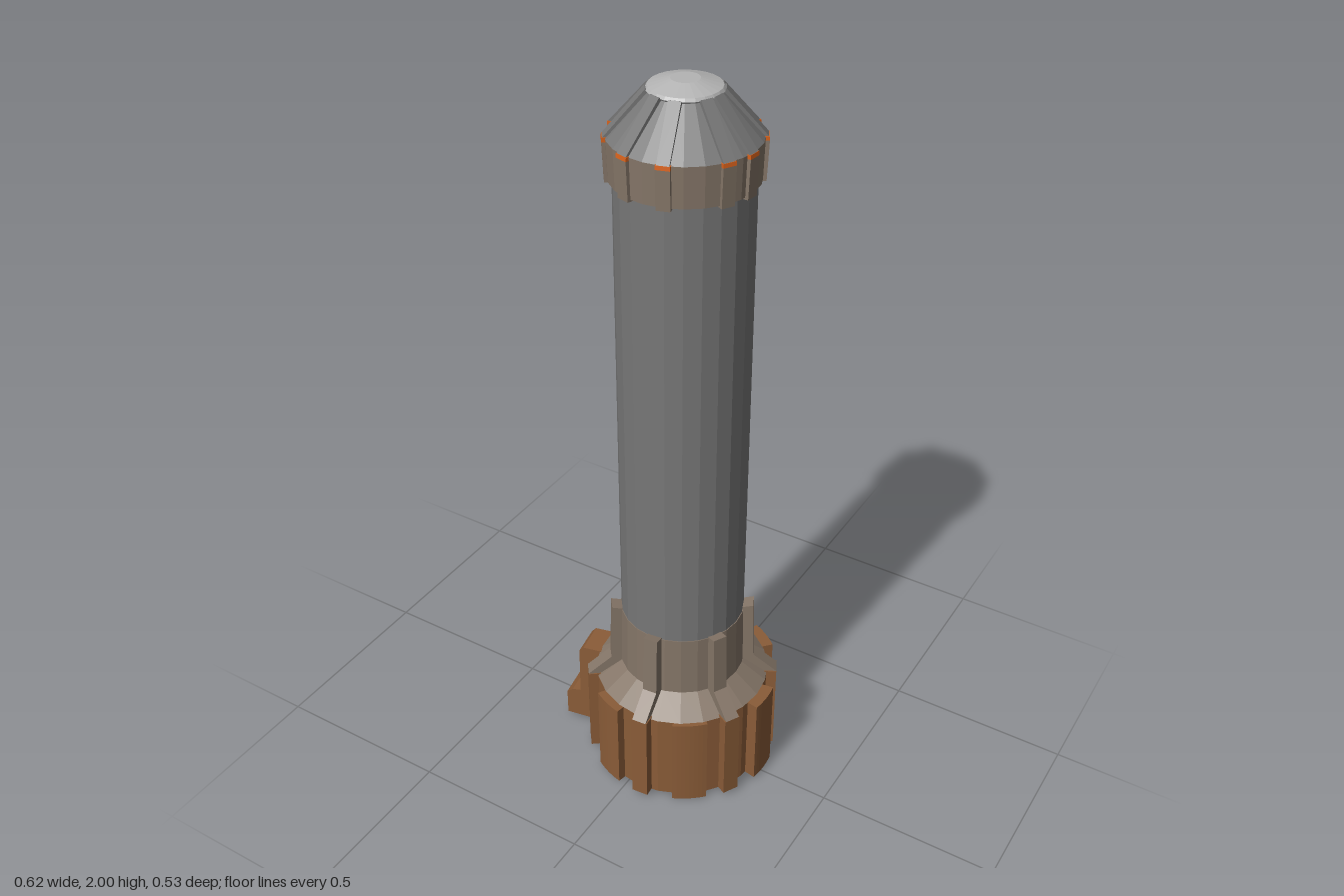
import * as THREE from 'three';

const mat = (color) => new THREE.MeshStandardMaterial({ color, flatShading: true, side: THREE.DoubleSide });
const rad = THREE.MathUtils.degToRad;

export function createModel() {
  const model = new THREE.Group();
  const axis = new THREE.Group();
  axis.name = 'lighthouseTower';
  axis.position.set(0.034, 0, -0.004);
  model.add(axis);

  const brown = mat(0x8a5c38), tan = mat(0x857668), grey = mat(0x777777);
  const light = mat(0xb4b4b4), orange = mat(0xd8621c), teal = mat(0x2a8f88);

  const add = (name, geo, material, angle = 0) => {
    const m = new THREE.Mesh(geo, material);
    m.name = name;
    m.rotation.y = rad(angle);
    axis.add(m);
    return m;
  };
  // Turned section from [radius, height] pairs
  const turned = (name, pts, material) =>
    add(name, new THREE.LatheGeometry(pts.map(p => new THREE.Vector2(...p)), 24), material);
  // Radial plate: side profile in [radius, height], thickness across
  const plate = (name, pts, width, material, angle) => {
    const shape = new THREE.Shape(pts.map(p => new THREE.Vector2(...p)));
    const geo = new THREE.ExtrudeGeometry(shape, { depth: width, bevelEnabled: false });
    geo.translate(0, 0, -width / 2);
    return add(name, geo, material, angle);
  };
  // Curved block hugging the base
  const pad = (name, r0, r1, halfDeg, y0, y1, angle) => {
    const h = rad(halfDeg), shape = new THREE.Shape();
    shape.absarc(0, 0, r1, -h, h, false);
    shape.absarc(0, 0, r0, h, -h, true);
    shape.closePath();
    const geo = new THREE.ExtrudeGeometry(shape, { depth: y1 - y0, bevelEnabled: false, curveSegments: 4 });
    geo.rotateX(-Math.PI / 2);
    geo.translate(0, y0, 0);
    add(name, geo, brown, angle);
  };

  // Main stack
  turned('base', [[0, 0.01], [0.24, 0.01], [0.24, 0.28]], brown);
  turned('baseShoulder', [[0.24, 0.28], [0.172, 0.33], [0.169, 0.51], [0.16, 0.51]], tan);
  turned('shaft', [[0.167, 0.33], [0.167, 1.78]], grey);
  turned('capBand', [[0.16, 1.77], [0.178, 1.77], [0.181, 1.87]], tan);
  turned('capCone', [[0.181, 1.87], [0.085, 1.975]], grey);
  turned('capDome', [[0.085, 1.972], [0.09, 1.978], [0.085, 1.985], [0.034, 2.0], [0, 2.0]], light);

  // Buttress fins around the base
  for (const a of [27.5, 85, 106.5, 163, 218, 275, 332]) {
    plate('finLower', [[0.2, 0.012], [0.265, 0.012], [0.265, 0.285], [0.2, 0.285]], 0.046, brown, a);
    plate('finUpper', [[0.15, 0.285], [0.265, 0.285], [0.2, 0.342], [0.194, 0.52], [0.15, 0.51]], 0.04, tan, a);
  }

  // Curved pads between the fins
  pad('basePad', 0.22, 0.27, 10, 0.01, 0.28, 0);
  pad('basePad', 0.22, 0.27, 10, 0.01, 0.28, 58);
  pad('basePad', 0.22, 0.27, 10, 0.01, 0.28, 133);
  pad('basePad', 0.22, 0.262, 10, 0.01, 0.28, 249);
  pad('basePad', 0.22, 0.25, 11, 0, 0.28, 306);

  // Stepped foot
  plate('foot', [[0.2, 0.01], [0.343, 0.01], [0.343, 0.09], [0.325, 0.105], [0.3, 0.11],
    [0.298, 0.265], [0.285, 0.28], [0.2, 0.285]], 0.09, brown, 190);

  // Cap ribs with coloured tips
  for (const a of [-74, -28, -5, 30, 60, 119, 149, 186, 216, 253]) {
    plate('capRibLower', [[0.16, 1.765], [0.184, 1.765], [0.188, 1.862], [0.16, 1.862]], 0.034, tan, a);
    plate('capRibTip', [[0.16, 1.862], [0.188, 1.862], [0.187, 1.872], [0.16, 1.872]], 0.034, orange, a);
    plate('capRibUpper', [[0.16, 1.872], [0.186, 1.872], [0.09, 1.981], [0.07, 1.975]], 0.03, grey, a);
  }

  // Narrow inset strip on the shaft
  plate('shaftStrip', [[0.155, 0.33], [0.1685, 0.33], [0.1685, 0.69], [0.155, 0.69]], 0.012, teal, 150);

  return model;
}
